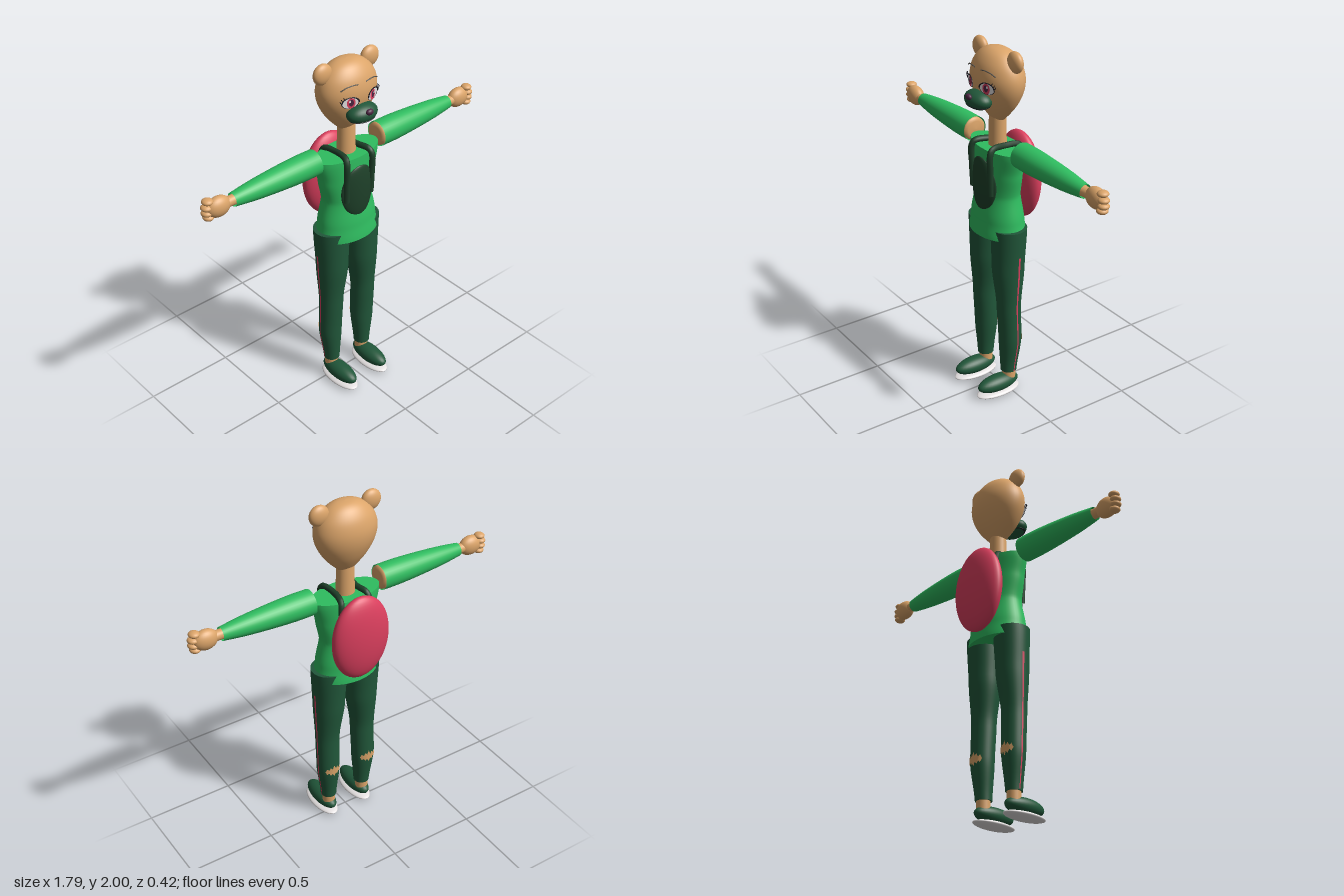
import * as THREE from 'three';

const mat = (name, color, side = THREE.FrontSide) => {
  const m = new THREE.MeshStandardMaterial({ color, side });
  m.name = name;
  return m;
};

export function createModel() {
  const fur = mat('tan fur', 0xdca56a, THREE.DoubleSide);
  const shirt = mat('bright green', 0x2fbd60, THREE.DoubleSide);
  const pants = mat('dark green', 0x21573a);
  const dark = mat('deep green', 0x1e4029);
  const red = mat('crimson', 0xdb3f5e, THREE.DoubleSide);
  const white = mat('off white', 0xe6e2e2, THREE.DoubleSide);
  const black = mat('black', 0x1a1820, THREE.DoubleSide);
  const plum = mat('plum', 0x4d2442, THREE.DoubleSide);
  const slate = mat('brow grey', 0x5a5650);

  const model = new THREE.Group();
  const add = (name, geo, material, parent = model) => {
    const mesh = new THREE.Mesh(geo, material);
    mesh.name = name;
    parent.add(mesh);
    return mesh;
  };
  const ball = (rx, ry, rz, x, y, z, w = 32, h = 20) =>
    new THREE.SphereGeometry(1, w, h).scale(rx, ry, rz).translate(x, y, z);
  const lathe = (pts, n = 40) =>
    new THREE.LatheGeometry(pts.map(([r, y]) => new THREE.Vector2(r, y)), n);
  const smooth = (pts, n) =>
    new THREE.SplineCurve(pts.map(([r, y]) => new THREE.Vector2(r, y))).getPoints(n).map(p => [Math.max(0, p.x), p.y]);
  const tube = (pts, r, n = 24) =>
    new THREE.TubeGeometry(new THREE.CatmullRomCurve3(pts.map(p => new THREE.Vector3(...p))), n, r, 8);

  // Cross-sections [y, cx, cz, rx, rz], eased between the given heights
  const sectionAt = (rows, y) => {
    let i = 0;
    while (i < rows.length - 2 && y > rows[i + 1][0]) i++;
    const t = THREE.MathUtils.clamp((y - rows[i][0]) / (rows[i + 1][0] - rows[i][0]), 0, 1);
    const e = THREE.MathUtils.lerp(t, t * t * (3 - 2 * t), 0.5);
    return rows[i].map((v, k) => v + (rows[i + 1][k] - v) * e);
  };
  const loft = (rows, steps = 32, seg = 40) => {
    const y0 = rows[0][0], y1 = rows[rows.length - 1][0];
    const pts = [[0, y0], [1, y0]];
    for (let i = 0; i <= steps; i++) pts.push([1, y0 + (y1 - y0) * i / steps]);
    pts.push([1, y1], [0, y1]);
    const g = lathe(pts, seg), p = g.attributes.position;
    for (let i = 0; i < p.count; i++) {
      const [, cx, cz, rx, rz] = sectionAt(rows, p.getY(i));
      p.setX(i, cx + p.getX(i) * rx);
      p.setZ(i, cz + p.getZ(i) * rz);
    }
    g.computeVertexNormals();
    // Blend the normals along the seam
    const n = g.attributes.normal, a = new THREE.Vector3(), b = new THREE.Vector3();
    for (let i = 0; i < pts.length; i++) {
      const j = seg * pts.length + i;
      a.fromBufferAttribute(n, i).add(b.fromBufferAttribute(n, j)).normalize();
      n.setXYZ(i, a.x, a.y, a.z);
      n.setXYZ(j, a.x, a.y, a.z);
    }
    return g;
  };

  // Head, ears and neck
  const headProfile = [[0.046, 1.605], [0.09, 1.65], [0.13, 1.7], [0.162, 1.76], [0.175, 1.815],
    [0.17, 1.865], [0.147, 1.915], [0.105, 1.957], [0.055, 1.98], [0, 1.986]];
  add('head', lathe(smooth(headProfile, 36), 48).scale(1, 1, 0.69), fur);
  add('neck', new THREE.CylinderGeometry(0.047, 0.052, 0.2, 28).scale(1, 1, 0.9).translate(0, 1.54, 0), fur);

  // Muzzle, mouth and nose
  add('muzzle', ball(0.09, 0.05, 0.062, 0, 1.73, 0.118), pants);
  add('mouth', ball(0.078, 0.011, 0.055, 0, 1.704, 0.119), black);
  add('nose', ball(0.022, 0.016, 0.014, 0, 1.756, 0.176, 20, 12), plum);

  // Shirt body
  add('shirtBody', loft([[0.972, 0, 0, 0.187, 0.132], [1.06, 0, 0, 0.175, 0.121], [1.2, 0, 0, 0.15, 0.102],
    [1.33, 0, 0, 0.175, 0.102], [1.44, 0, 0, 0.2, 0.1], [1.46, 0, 0, 0.2, 0.099]], 40, 48), shirt);

  // Chest patch bent round the body
  const patch = ball(0.105, 0.15, 0.02, 0, 1.262, 0.106);
  const pp = patch.attributes.position;
  for (let i = 0; i < pp.count; i++) pp.setZ(i, pp.getZ(i) - 2.2 * pp.getX(i) ** 2);
  patch.computeVertexNormals();
  add('chestPatch', patch, dark);

  // Backpack
  add('backpack', ball(0.17, 0.245, 0.069, 0, 1.256, -0.142, 40, 28), red);

  // Arm along +x: inner arm, sleeve, wrist and fist
  const buildArm = (turn) => {
    const arm = new THREE.Group();
    arm.name = turn ? 'rightArm' : 'leftArm';
    arm.rotation.y = turn;
    model.add(arm);
    const along = (pts, n = 32) => lathe(pts, n).rotateZ(-Math.PI / 2).translate(0, 1.47, 0);
    add('sleeve', along(smooth([[0.069, 0.21], [0.069, 0.32], [0.062, 0.46], [0.051, 0.6], [0.036, 0.722]], 24)), shirt, arm);
    add('innerArm', along([[0, 0.198], [0.045, 0.201], [0.062, 0.208], [0.064, 0.22], [0.06, 0.33], [0.05, 0.47],
      [0.04, 0.6], [0.027, 0.72], [0.027, 0.76]]), fur, arm);
    add('palm', ball(0.068, 0.056, 0.04, 0.805, 1.47, 0, 28, 18), fur, arm);
    [[0.86, 1.516], [0.868, 1.485], [0.868, 1.455], [0.86, 1.428]].forEach(([x, y]) =>
      add('finger', ball(0.029, 0.0165, 0.03, x, y, 0.008, 18, 12), fur, arm));
  };
  buildArm(0);
  buildArm(Math.PI);

  for (const s of [1, -1]) {
    const side = s > 0 ? 'left' : 'right';
    add(side + 'Ear', ball(0.056, 0.056, 0.031, s * 0.152, 1.944, 0), fur);

    // Eye layers on a plate turned to follow the face
    const eye = new THREE.Group();
    eye.name = side + 'Eye';
    eye.position.set(s * 0.073, 1.806, 0.115);
    eye.rotation.y = s * 0.33;
    model.add(eye);
    const disc = (name, rx, ry, x, y, z, m) =>
      add(name, new THREE.CircleGeometry(1, 28).scale(rx, ry, 1).translate(x, y, z), m, eye);
    disc('eyeWhite', 0.045, 0.029, 0, 0, 0, white);
    disc('iris', 0.023, 0.028, -s * 0.004, 0, 0.002, red);
    disc('pupil', 0.013, 0.018, -s * 0.004, 0.002, 0.004, plum);
    disc('glint', 0.006, 0.007, s * 0.004, 0.011, 0.006, white);
    add('upperLid', new THREE.TorusGeometry(1, 0.09, 6, 24, Math.PI).scale(0.046, 0.03, 0.03).translate(0, 0.001, 0.003), black, eye);
    add('lowerLid', new THREE.TorusGeometry(1, 0.04, 6, 24, Math.PI).scale(0.045, -0.029, 0.03), black, eye);
    for (let i = 0; i < 3; i++) {
      const a = 0.25 + i * 0.38, x = s * 0.045 * Math.cos(a), y = 0.03 * Math.sin(a);
      add('lash', tube([[x, y, 0.003], [x + s * 0.009, y + 0.004, 0.004], [x + s * 0.013, y + 0.014, 0.006]], 0.0018, 6), black, eye);
    }
    add(side + 'Brow', tube([[s * 0.025, 1.892, 0.117], [s * 0.06, 1.897, 0.116], [s * 0.095, 1.89, 0.106],
      [s * 0.12, 1.876, 0.095]], 0.0028, 14), slate);

    // Backpack strap over the shoulder
    add(side + 'Strap', tube([[s * 0.082, 1.22, 0.098], [s * 0.084, 1.34, 0.103], [s * 0.084, 1.45, 0.104],
      [s * 0.078, 1.474, 0.085], [s * 0.066, 1.472, 0], [s * 0.08, 1.465, -0.08], [s * 0.09, 1.4, -0.105]], 0.0165, 48), dark);

    // Trouser leg
    const rows = [[0.135, 0.112, 0.004, 0.044, 0.045], [0.34, 0.116, -0.002, 0.066, 0.062],
      [0.56, 0.114, 0.006, 0.068, 0.066], [0.78, 0.104, 0.004, 0.088, 0.088], [1.022, 0.103, 0, 0.1, 0.096]]
      .map(([y, cx, ...rest]) => [y, s * cx, ...rest]);
    add(side + 'TrouserLeg', loft(rows), pants);

    // Strip of surface points lying just off the leg, from pairs of [angle, y]
    const onLeg = (a, y) => {
      const [, cx, cz, rx, rz] = sectionAt(rows, y);
      return [cx + s * Math.sin(a) * (rx + 0.003), y, cz + Math.cos(a) * (rz + 0.003)];
    };
    const strip = (pairs) => {
      const pos = [], idx = [];
      pairs.forEach(([p, q], i) => {
        pos.push(...onLeg(...p), ...onLeg(...q));
        if (i) idx.push(2 * i - 2, 2 * i - 1, 2 * i, 2 * i, 2 * i - 1, 2 * i + 1);
      });
      const g = new THREE.BufferGeometry();
      g.setAttribute('position', new THREE.Float32BufferAttribute(pos, 3));
      // Wind the faces outward on both legs
      if (s > 0) idx.reverse();
      g.setIndex(idx);
      g.computeVertexNormals();
      return g;
    };
    const stripe = [];
    for (let i = 0; i <= 30; i++) {
      const y = 0.14 + 0.73 * i / 30;
      stripe.push([[1.6, y], [1.73, y]]);
    }
    add(side + 'Stripe', strip(stripe), red);

    // Ragged tear on the back of the calf
    const up = [0.003, 0.022, 0.012, 0.03, 0.016, 0.042, 0.018, 0.03, 0.01, 0.022, 0.003];
    add(side + 'Tear', strip(up.map((h, i) => {
      const a = Math.PI + (i - 5) * 0.15;
      return [[a, 0.345 + h], [a, 0.345 - up[10 - i] * 0.9]];
    })), fur);

    // Ankle and shoe
    add(side + 'Ankle', new THREE.CylinderGeometry(0.037, 0.037, 0.09, 24).translate(s * 0.112, 0.115, 0.002), fur);
    add(side + 'Shoe', ball(0.053, 0.047, 0.13, s * 0.112, 0.07, 0.075), pants);
    add(side + 'Sole', ball(0.062, 0.019, 0.137, s * 0.112, 0.021, 0.075), white);
  }
  return model;
}
